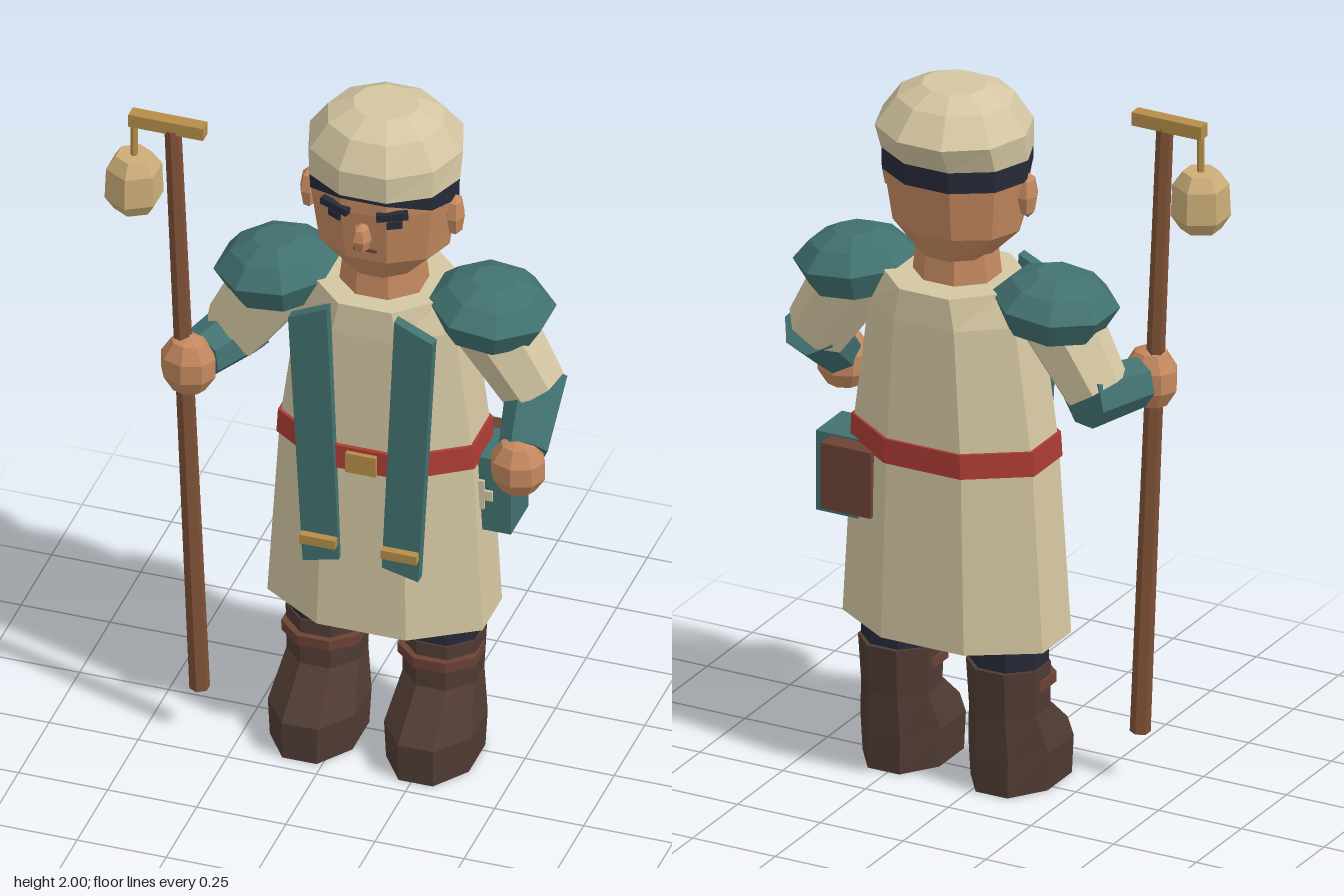
import * as THREE from 'three';

const mat = (name, color) => Object.assign(new THREE.MeshStandardMaterial({ color }), { name });

// Flat-faceted copy of a geometry
function facet(geo) {
  const g = geo.index ? geo.toNonIndexed() : geo;
  g.computeVertexNormals();
  return g;
}

// Closed solid through n-sided rings [y, halfWidth, zFront, zBack], listed bottom to top.
// dip(angle, ringIndex) may shift a vertex vertically.
function loft(rings, n, dip = () => 0) {
  const angles = Array.from({ length: n }, (_, i) => ((i + 0.5) / n) * Math.PI * 2);
  const mx = Math.max(...angles.map((a) => Math.sin(a)));
  const mz = Math.max(...angles.map((a) => Math.cos(a)));
  const pos = [], idx = [];
  rings.forEach(([y, rx, zf, zb], r) => angles.forEach((a) => pos.push(
    (Math.sin(a) / mx) * rx, y + dip(a, r), (zf + zb) / 2 + (Math.cos(a) / mz) * (zf - zb) / 2)));
  const last = rings.length - 1;
  for (let r = 0; r < last; r++) {
    for (let i = 0; i < n; i++) {
      const j = (i + 1) % n, a = r * n + i, b = r * n + j;
      idx.push(a, b, b + n, a, b + n, a + n);
    }
  }
  for (let i = 1; i < n - 1; i++) {
    idx.push(0, i + 1, i, last * n, last * n + i, last * n + i + 1);
  }
  const g = new THREE.BufferGeometry();
  g.setAttribute('position', new THREE.Float32BufferAttribute(pos, 3));
  g.setIndex(idx);
  return facet(g);
}

export function createModel() {
  const model = new THREE.Group();
  model.name = 'traveller';
  const skin = mat('skin', 0xc4895f), cream = mat('cream cloth', 0xd4c6a2);
  const teal = mat('teal cloth', 0x417170), boot = mat('boot leather', 0x4f3b33);
  const navy = mat('dark navy', 0x262a38), red = mat('red belt', 0xac3c34);
  const gold = mat('gold', 0xb48d48), glow = mat('lantern', 0xcbad78);
  const wood = mat('wood', 0x7d5035), leather = mat('brown leather', 0x6c4236);
  const CX = 0.1; // middle of the body

  const add = (name, geo, material, x = 0, y = 0, z = 0) => {
    const m = new THREE.Mesh(geo, material);
    m.name = name;
    m.position.set(x, y, z);
    model.add(m);
    return m;
  };
  const box = (name, material, w, h, d, x, y, z) =>
    add(name, new THREE.BoxGeometry(w, h, d), material, x, y, z);
  const limb = (name, material, from, to, r1, r2, n) => {
    const a = new THREE.Vector3(...from), b = new THREE.Vector3(...to);
    const d = b.clone().sub(a);
    const m = add(name, facet(new THREE.CylinderGeometry(r2, r1, d.length(), n)), material);
    m.position.copy(a).add(b).multiplyScalar(0.5);
    m.quaternion.setFromUnitVectors(new THREE.Vector3(0, 1, 0), d.normalize());
  };
  const ball = (name, material, x, y, z, rx, ry, rz, w = 8, h = 5) =>
    add(name, facet(new THREE.SphereGeometry(1, w, h).scale(rx, ry, rz)), material, x, y, z);

  // Robe, belt and neck
  add('robe', loft([[0.43, 0.302, 0.175, -0.21], [0.98, 0.27, 0.157, -0.203],
    [1.36, 0.22, 0.15, -0.203], [1.45, 0.18, 0.145, -0.2]], 8), cream, CX);
  add('belt', loft([[0.94, 0.278, 0.17, -0.212], [1.01, 0.274, 0.168, -0.211]], 8), red, CX);
  box('buckle', gold, 0.085, 0.06, 0.02, CX, 0.97, 0.172);
  add('neck', loft([[1.42, 0.115, 0.09, -0.12], [1.56, 0.1, 0.08, -0.11]], 8), skin, CX);

  // Head, hair and cap
  add('head', loft([[1.52, 0.105, 0.09, -0.12], [1.6, 0.185, 0.135, -0.155],
    [1.76, 0.208, 0.157, -0.18], [1.84, 0.208, 0.157, -0.183]], 10), skin, CX);
  const hairline = (a, r) => (r ? 0 : 0.055 * Math.max(0, Math.cos(a)) ** 2);
  add('hair', loft([[1.75, 0.211, 0.16, -0.187], [1.825, 0.212, 0.16, -0.189]], 10, hairline), navy, CX);
  add('cap', loft([[1.812, 0.213, 0.163, -0.19], [1.89, 0.215, 0.165, -0.23],
    [1.965, 0.162, 0.12, -0.17], [2.0, 0.09, 0.05, -0.11]], 10), cream, CX);

  // Face
  ball('nose', skin, CX - 0.002, 1.69, 0.165, 0.028, 0.045, 0.035, 6, 4);
  box('mouth', leather, 0.065, 0.008, 0.009, CX, 1.638, 0.142);

  // Sides built as pairs: s = 1 is the model's left
  for (const s of [1, -1]) {
    const side = s > 0 ? 'left' : 'right';
    const X = (d) => CX + s * d;
    const eye = box(side + 'Eye', navy, 0.042, 0.02, 0.009, X(0.084), 1.737, 0.147);
    eye.rotation.y = s * 0.5;
    const brow = box(side + 'Brow', navy, 0.085, 0.02, 0.02, X(0.08), 1.77, 0.155);
    brow.rotation.set(0, s * 0.3, s * 0.12);
    ball(side + 'Ear', skin, X(0.205), 1.705, 0, 0.026, 0.065, 0.038, 6, 4);

    // Shoulder cap and sleeve
    const cap = add(side + 'ShoulderCap', loft([[-0.075, 0.125, 0.125, -0.125], [0, 0.16, 0.16, -0.16],
      [0.05, 0.115, 0.115, -0.115], [0.08, 0.055, 0.055, -0.055]], 8), teal, X(0.3), 1.43, -0.02);
    cap.rotation.z = -s * 0.1;
    limb(side + 'Sleeve', cream, [X(0.29), 1.4, -0.015], [X(0.42), 1.19, -0.015], 0.115, 0.092, 7);

    // Boot, strap and trouser leg
    const lx = X(0.163);
    add(side + 'Boot', loft([[0, 0.116, 0.205, -0.125], [0.11, 0.122, 0.205, -0.127],
      [0.225, 0.1, 0.08, -0.127], [0.36, 0.105, 0.072, -0.135]], 8), boot, lx);
    add(side + 'BootStrap', loft([[0.29, 0.108, 0.093, -0.1], [0.32, 0.109, 0.093, -0.1]], 8), leather, lx);
    add(side + 'TrouserLeg', loft([[0.33, 0.1, 0.067, -0.122], [0.47, 0.1, 0.067, -0.122]], 8), navy, lx);

    // Hanging stole strip with gold band
    const strip = new THREE.Shape([[0.095, 1.45], [0.203, 1.4], [0.162, 0.63], [0.06, 0.655]]
      .map(([d, y]) => new THREE.Vector2(X(d), y)));
    add(side + 'StoleStrip', new THREE.ExtrudeGeometry(strip, { depth: 0.032, bevelEnabled: false }),
      teal, 0, 0, 0.15);
    box(side + 'StoleBand', gold, 0.1, 0.027, 0.025, X(0.114), 0.712, 0.192);
  }

  // Forearms and hands
  limb('leftForearm', teal, [0.52, 1.21, -0.05], [0.535, 1.075, 0.115], 0.082, 0.068, 7);
  ball('leftHand', skin, 0.53, 1.04, 0.145, 0.08, 0.088, 0.07);
  limb('rightForearm', teal, [-0.305, 1.18, -0.06], [-0.375, 1.175, 0.115], 0.085, 0.07, 7);
  ball('rightHand', skin, -0.39, 1.175, 0.16, 0.08, 0.093, 0.066);

  // Staff with hanging lantern
  limb('staff', wood, [-0.36, 0.14, 0.155], [-0.435, 1.915, 0.155], 0.028, 0.023, 6);
  box('staffCrossbar', gold, 0.21, 0.038, 0.038, -0.45, 1.925, 0.152);
  limb('lanternHanger', gold, [-0.545, 1.79, 0.152], [-0.545, 1.91, 0.152], 0.01, 0.01, 6);
  const lanternProfile = [[0, -0.083], [0.055, -0.083], [0.08, -0.045], [0.076, 0.045], [0.05, 0.083], [0, 0.083]];
  add('lantern', facet(new THREE.LatheGeometry(lanternProfile.map((p) => new THREE.Vector2(...p)), 6)),
    glow, -0.545, 1.725, 0.152);

  // Pouches on the left hip, with a small cross patch
  box('hipPouch', teal, 0.16, 0.23, 0.145, 0.385, 0.835, -0.058);
  box('backPouch', leather, 0.15, 0.19, 0.055, 0.345, 0.85, -0.158);
  box('crossUpright', cream, 0.028, 0.09, 0.009, 0.378, 0.835, 0.019);
  box('crossBar', cream, 0.075, 0.03, 0.008, 0.378, 0.835, 0.019);

  return model;
}
